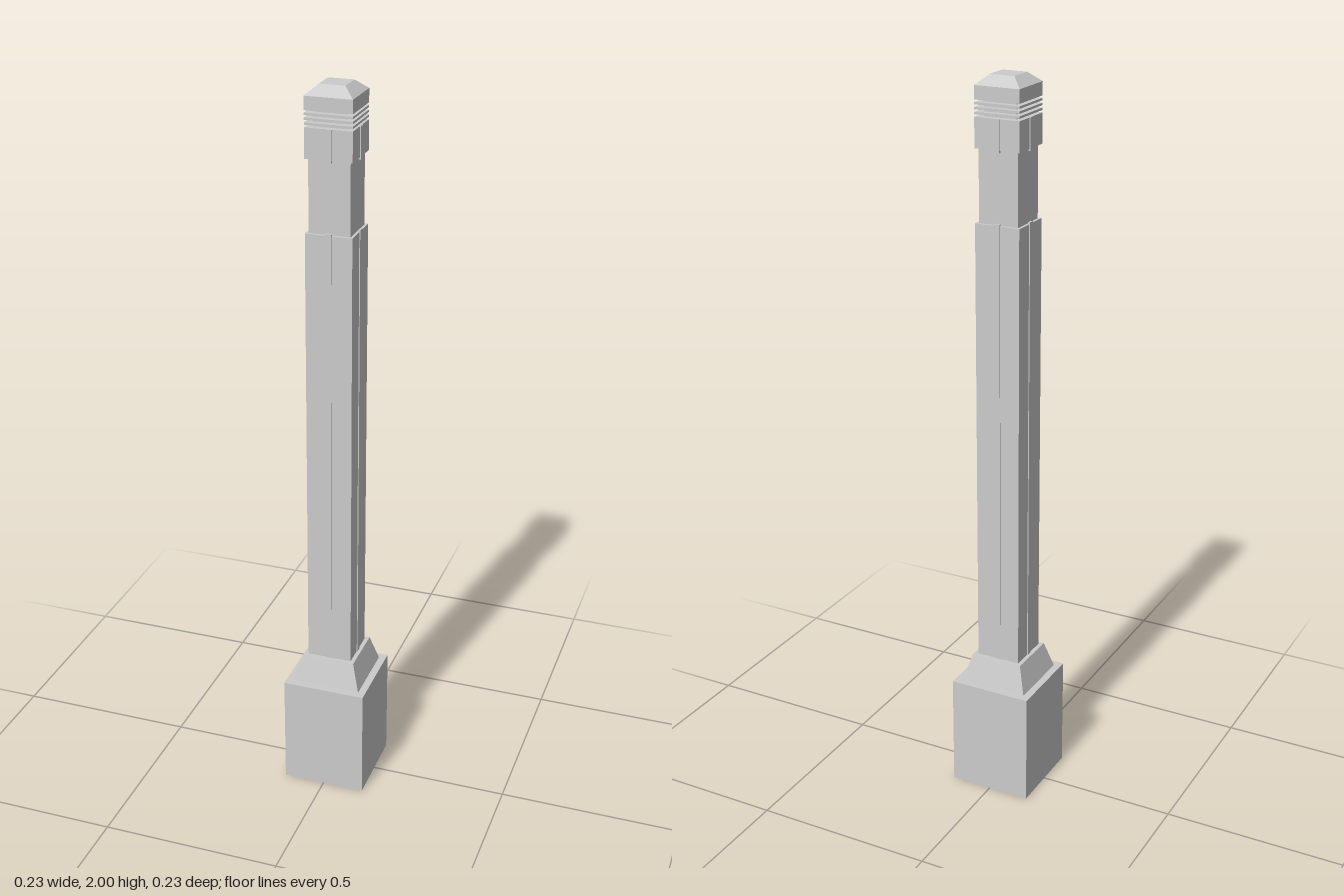
import * as THREE from 'three';

const material = new THREE.MeshStandardMaterial({
  color: 0xcccccc, flatShading: true, side: THREE.DoubleSide,
});

// Square turned part: profile of [half width, y], listed from bottom to top
function squarePart(name, profile) {
  const points = profile.map(([half, y]) => new THREE.Vector2(half * Math.SQRT2, y));
  const geometry = new THREE.LatheGeometry(points, 4, Math.PI / 4);
  const mesh = new THREE.Mesh(geometry, material);
  mesh.name = name;
  return mesh;
}

// Closed square block between two heights
const block = (name, half, y0, y1) =>
  squarePart(name, [[0, y0], [half, y0], [half, y1], [0, y1]]);

// One narrow vertical strip centred on each of the four sides
function sideStrips(name, y0, y1) {
  const group = new THREE.Group();
  group.name = name;
  for (let i = 0; i < 4; i++) {
    const strip = new THREE.Mesh(new THREE.BoxGeometry(0.016, y1 - y0, 0.006), material);
    strip.name = 'strip';
    const angle = i * Math.PI / 2;
    strip.position.set(Math.sin(angle) * 0.062, (y0 + y1) / 2, Math.cos(angle) * 0.062);
    strip.rotation.y = angle;
    group.add(strip);
  }
  return group;
}

export function createModel() {
  const model = new THREE.Group();
  model.name = 'bollardLight';

  // Hollow foundation, open at the bottom
  model.add(squarePart('foundation', [[0.116, 0], [0.116, 0.318], [0, 0.318]]));

  // Sloped collar around the foot of the post
  model.add(squarePart('collar', [[0.096, 0.318], [0.074, 0.395], [0, 0.395]]));

  // Post with cover strips, and the narrower neck above it
  model.add(block('post', 0.0625, 0.395, 1.63));
  model.add(sideStrips('postStrips', 0.39, 1.635));
  model.add(block('neck', 0.055, 1.63, 1.82));

  // Lamp head
  model.add(block('head', 0.0625, 1.82, 1.898));
  model.add(sideStrips('headStrips', 1.815, 1.898));

  // Light core with stacked louvres
  model.add(block('lightCore', 0.045, 1.898, 1.94));
  for (let i = 0; i < 3; i++) {
    const y = 1.904 + i * 0.012;
    model.add(block('louvre', 0.0625, y, y + 0.006));
  }

  // Cap with bevelled top
  model.add(squarePart('cap', [
    [0, 1.94], [0.0625, 1.94], [0.0625, 1.975], [0.034, 2], [0, 2],
  ]));

  return model;
}
